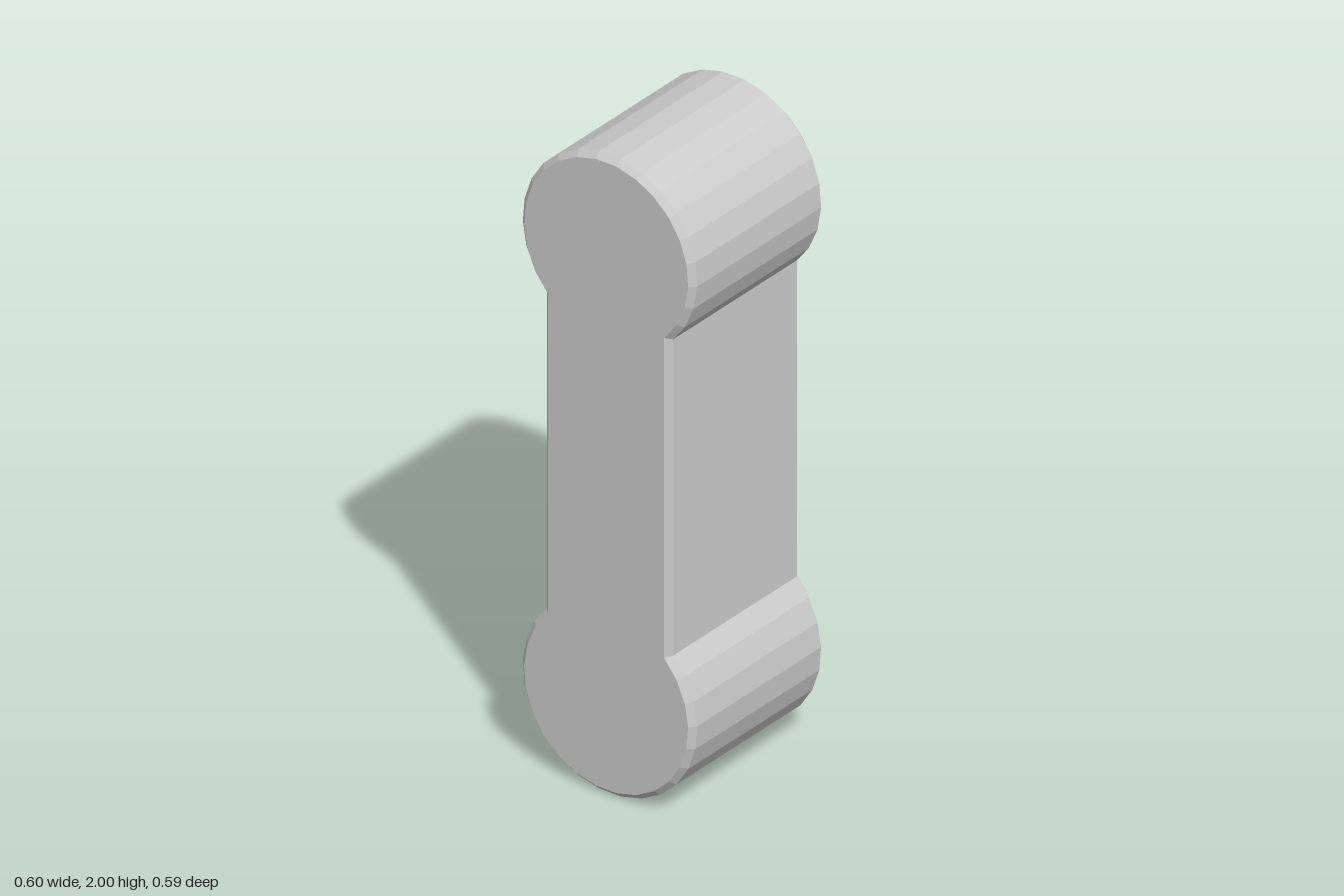
import * as THREE from 'three';

const END_Y = 0.702;      // round end centres above and below the middle
const RADIUS = 0.283;     // round end radius on the flat faces
const SEGMENTS = 19;      // facets per round end
const BEVEL = 0.0173;     // chamfer around both faces
const HALF_DEPTH = 0.278; // straight part of the side walls

export function createModel() {
  const group = new THREE.Group();
  group.name = 'dumbbellLink';

  // Outline: two 270 degree arcs joined by the straight sides of the bar
  const points = [];
  for (const side of [1, -1]) {
    for (let i = 0; i <= SEGMENTS; i++) {
      const a = -Math.PI / 4 + (i / SEGMENTS) * Math.PI * 1.5;
      points.push(new THREE.Vector2(
        side * RADIUS * Math.cos(a),
        side * (END_Y + RADIUS * Math.sin(a))
      ));
    }
  }

  // Solid body with a single chamfer on the front and back rims
  const geometry = new THREE.ExtrudeGeometry(new THREE.Shape(points), {
    depth: HALF_DEPTH * 2,
    bevelEnabled: true,
    bevelSegments: 1,
    bevelSize: BEVEL,
    bevelThickness: BEVEL,
  });
  geometry.translate(0, 1, -HALF_DEPTH);

  const body = new THREE.Mesh(
    geometry,
    new THREE.MeshStandardMaterial({ color: 0xcccccc, flatShading: true })
  );
  body.name = 'linkBody';
  group.add(body);
  return group;
}
